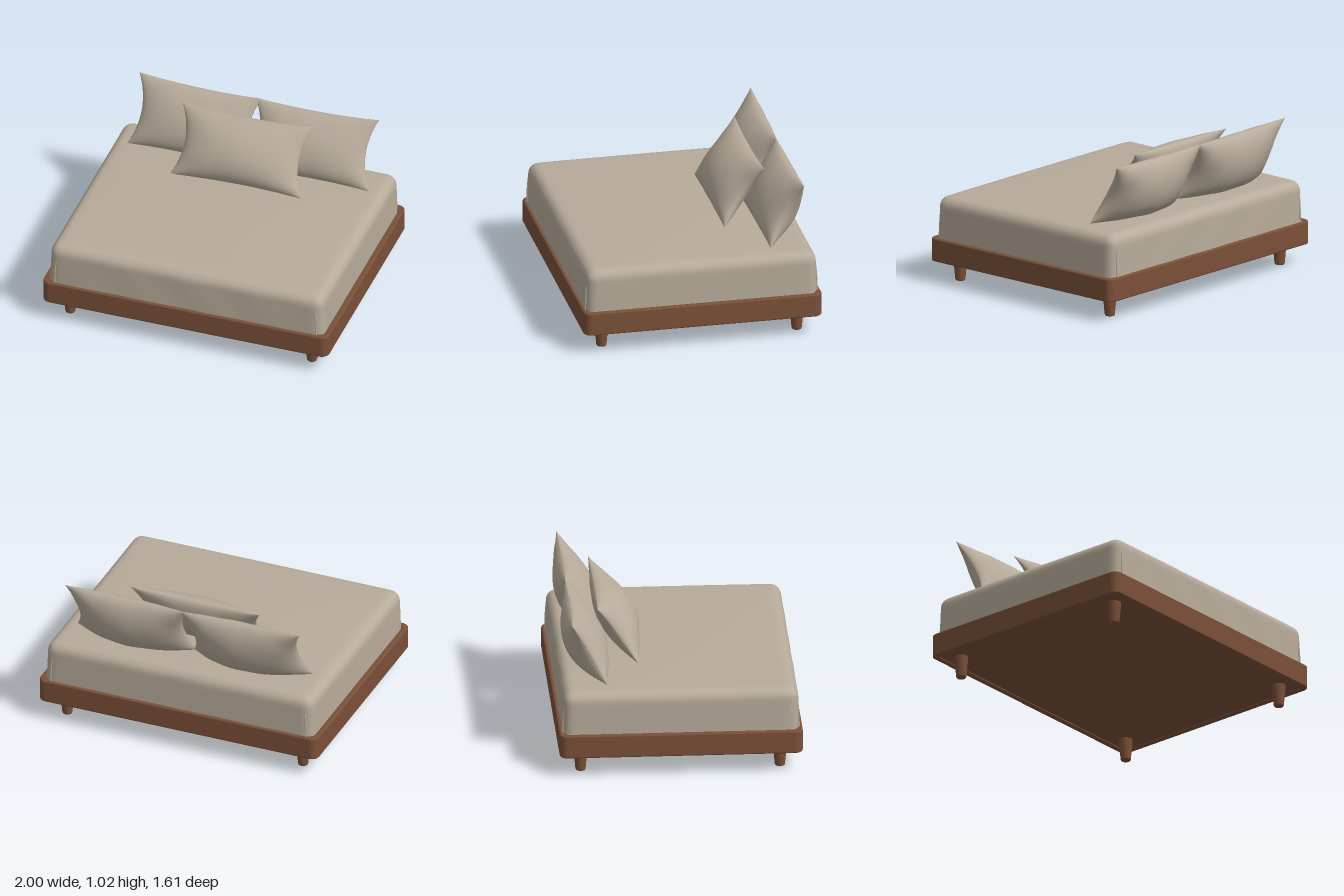
import * as THREE from 'three';
import { mergeVertices } from 'three/addons/utils/BufferGeometryUtils.js';

const wood = new THREE.MeshStandardMaterial({ color: 0x7a5038 });
wood.name = 'walnut wood';
const linen = new THREE.MeshStandardMaterial({ color: 0xb7ab9a });
linen.name = 'linen fabric';

function add(parent, name, geometry, material) {
  const mesh = new THREE.Mesh(geometry, material);
  mesh.name = name;
  parent.add(mesh);
  return mesh;
}

// Rounded rectangle centred on the origin
function roundedRect(path, w, h, r) {
  const x = w / 2, y = h / 2, q = Math.PI / 2;
  path.moveTo(x, -y + r);
  path.absarc(x - r, y - r, r, 0, q);
  path.absarc(-x + r, y - r, r, q, 2 * q);
  path.absarc(-x + r, -y + r, r, 2 * q, 3 * q);
  path.absarc(x - r, -y + r, r, 3 * q, 4 * q);
  return path;
}

// Bevelled slab lying flat, rising from y0 to y1
function slab(shape, y0, y1, bevel) {
  const g = new THREE.ExtrudeGeometry(shape, {
    depth: y1 - y0 - 2 * bevel, bevelEnabled: bevel > 0, bevelThickness: bevel,
    bevelSize: bevel, bevelOffset: -bevel, bevelSegments: 3, curveSegments: 8,
  });
  g.rotateX(-Math.PI / 2);
  g.translate(0, y0 + bevel, 0);
  return g;
}

// Packs grid lines towards the edges
const ease = (t) => Math.sin(t * Math.PI / 2);

function smooth(g) {
  g.deleteAttribute('uv');
  g.deleteAttribute('normal');
  const merged = mergeVertices(g, 1e-5);
  merged.computeVertexNormals();
  return merged;
}

// Mattress: finely divided box, rounded, with a crowned top and slightly slack sides
function mattressGeometry(hx, y0, y1, hz, r) {
  const g = new THREE.BoxGeometry(2, 2, 2, 40, 24, 40);
  const p = g.attributes.position, hy = (y1 - y0) / 2, cy = (y0 + y1) / 2;
  const v = new THREE.Vector3(), core = new THREE.Vector3(), off = new THREE.Vector3();
  const inner = new THREE.Vector3(hx - r, hy - r, hz - r);
  for (let i = 0; i < p.count; i++) {
    const a = ease(p.getX(i)), b = ease(p.getY(i)), c = ease(p.getZ(i));
    v.set(a * hx, b * hy, c * hz);
    core.copy(v).clamp(inner.clone().negate(), inner);
    off.copy(v).sub(core);
    if (off.lengthSq() > 0) v.copy(core).addScaledVector(off.normalize(), r);
    const up = (b + 1) / 2;
    v.y += 0.025 * up * (1 - a * a) * (1 - c * c);
    v.x *= 1.006 - 0.012 * up;
    v.z *= 1.006 - 0.012 * up;
    // Faint diagonal drape folds on the front and back
    v.z += 0.003 * Math.sin(14 * v.x + 9 * v.y) * (1 - b * b) * Math.pow(Math.abs(c), 8) * (1 - a * a);
    p.setXYZ(i, v.x, v.y + cy, v.z);
  }
  return smooth(g);
}

// One half of a cushion: pinched outline, full belly, creases running to the corners
function cushionHalf(w, h, depth, side, seed) {
  const g = new THREE.PlaneGeometry(2, 2, 40, 28);
  const p = g.attributes.position;
  for (let i = 0; i < p.count; i++) {
    const u = ease(p.getX(i)), v = ease(p.getY(i));
    const eu = 1 - u * u, ev = 1 - v * v;
    const x = u * w / 2 * (1 - 0.14 * ev);
    const y = v * h / 2 * (1 - 0.07 * eu);
    const belly = Math.pow(eu * ev, 0.55) * (1 - 0.16 * v);
    const crease = 0.05 * Math.sin(9 * u * v + 5 * u + seed) * Math.abs(u * v)
      + 0.03 * Math.sin(11 * u + seed * 2) * v * v;
    p.setXYZ(i, x * side, y, side * depth * belly * (1 + crease));
  }
  return smooth(g);
}

function cushion(name, w, h, front, back, seed) {
  const group = new THREE.Group();
  group.name = name;
  add(group, 'cushionFront', cushionHalf(w, h, front, 1, seed), linen);
  add(group, 'cushionBack', cushionHalf(w, h, back, -1, seed + 2), linen);
  return group;
}

export function createModel() {
  const bed = new THREE.Group();
  bed.name = 'bed';

  // Frame rail and the panel set into its underside
  const rail = roundedRect(new THREE.Shape(), 2, 1.61, 0.055);
  rail.holes.push(roundedRect(new THREE.Path(), 1.92, 1.53, 0.035));
  add(bed, 'frameRail', slab(rail, 0.14, 0.298, 0.01), wood);
  const panel = roundedRect(new THREE.Shape(), 1.95, 1.56, 0.04);
  add(bed, 'basePanel', slab(panel, 0.152, 0.27, 0), wood);

  // Tapered legs with rounded feet
  const profile = [[0, 0], [0.025, 0], [0.031, 0.003], [0.034, 0.01], [0.045, 0.13], [0.045, 0.16]]
    .map(([x, y]) => new THREE.Vector2(x, y));
  const legGeometry = new THREE.LatheGeometry(profile, 24);
  for (const sx of [-1, 1]) {
    for (const sz of [-1, 1]) {
      const name = (sz > 0 ? 'front' : 'back') + (sx > 0 ? 'Left' : 'Right') + 'Leg';
      add(bed, name, legGeometry, wood).position.set(sx * 0.845, 0, sz * 0.66);
    }
  }

  // Covered mattress
  add(bed, 'mattress', mattressGeometry(0.96, 0.2, 0.578, 0.782, 0.07), linen);

  // Tucked sheet folds near the corners
  for (const sx of [-1, 1]) {
    for (const sz of [-1, 1]) {
      const fold = new THREE.CatmullRomCurve3([
        new THREE.Vector3(sx * 0.915, 0.29, sz * 0.783),
        new THREE.Vector3(sx * 0.91, 0.42, sz * 0.778),
        new THREE.Vector3(sx * 0.9, 0.52, sz * 0.769),
      ]);
      add(bed, 'cornerFold', new THREE.TubeGeometry(fold, 12, 0.006, 6), linen);
    }
  }

  // Two cushions leaning at the head and one in front of them
  for (const sx of [-1, 1]) {
    const c = cushion(sx > 0 ? 'backLeftCushion' : 'backRightCushion', 0.86, 0.48, 0.1, 0.165, sx + 1);
    c.position.set(sx * 0.412, 0.8, -0.595);
    c.rotation.set(-0.5, 0, sx * 0.015);
    bed.add(c);
  }
  const frontCushion = cushion('frontCushion', 0.92, 0.48, 0.125, 0.11, 4);
  frontCushion.position.set(-0.01, 0.79, -0.39);
  frontCushion.rotation.set(-0.6, 0, 0.01);
  bed.add(frontCushion);

  return bed;
}
